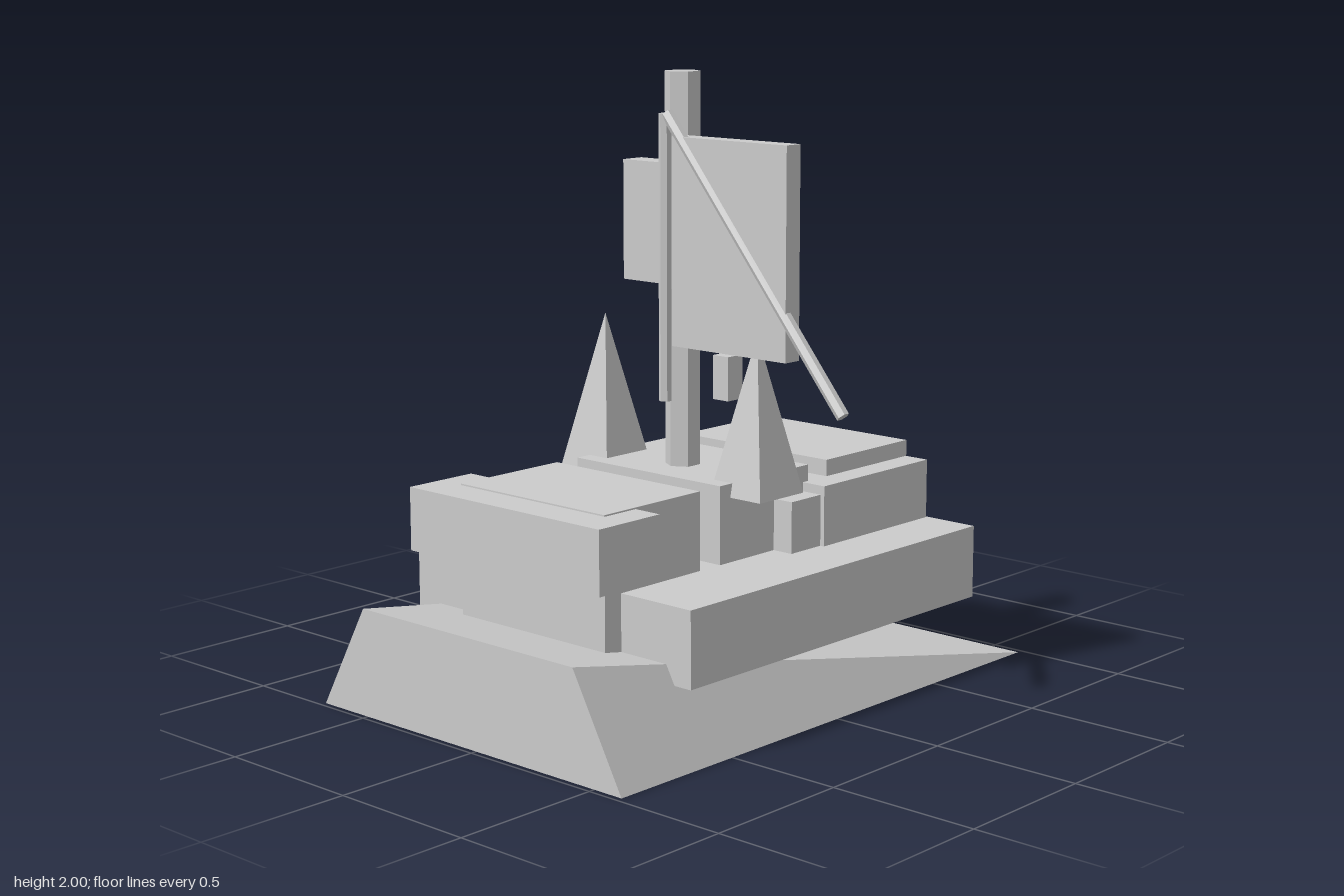
import * as THREE from 'three';

export function createModel() {
  const model = new THREE.Group();
  model.name = 'wreckedShip';
  const grey = new THREE.MeshStandardMaterial({ color: 0xcccccc });
  grey.name = 'plainGrey';

  const add = (name, geometry, x = 0, y = 0, z = 0) => {
    const flat = geometry.index ? geometry.toNonIndexed() : geometry;
    flat.computeVertexNormals();
    const mesh = new THREE.Mesh(flat, grey);
    mesh.name = name;
    mesh.position.set(x, y, z);
    model.add(mesh);
    return mesh;
  };
  // Box given by its extents on each axis
  const block = (name, [x0, x1], [y0, y1], [z0, z1]) =>
    add(name, new THREE.BoxGeometry(x1 - x0, y1 - y0, z1 - z0),
      (x0 + x1) / 2, (y0 + y1) / 2, (z0 + z1) / 2);
  // Six-sided pole between two points in a plane of constant z
  const pole = (name, radius, [x0, y0], [x1, y1], z) => {
    const length = Math.hypot(x1 - x0, y1 - y0);
    const mesh = add(name, new THREE.CylinderGeometry(radius, radius, length, 6),
      (x0 + x1) / 2, (y0 + y1) / 2, z);
    mesh.rotation.z = -Math.atan2(x1 - x0, y1 - y0);
  };

  // Ramp: tapers to a knife edge at the back, narrow ridge at the front
  const a = [-0.705, 0, -0.98], b = [0.61, 0, -0.98];
  const c = [-0.705, 0, 0.98], d = [0.61, 0, 0.98];
  const e = [-0.51, 0.35, 0.98], f = [0.415, 0.35, 0.98];
  const faces = [
    c, d, f, c, f, e, // front
    e, f, b, e, b, a, // slope
    a, c, e,          // right side
    d, b, f,          // left side
    a, b, d, a, d, c, // underside
  ];
  const wedge = new THREE.BufferGeometry();
  wedge.setAttribute('position', new THREE.Float32BufferAttribute(faces.flat(), 3));
  add('ramp', wedge);

  // Hull and stepped superstructure
  block('hull', [-0.65, 0.55], [0.225, 0.47], [-0.79, 0.62]);
  const core = [-0.365, 0.265];
  block('frontCabin', core, [0.24, 0.725], [0.265, 0.69]);
  block('middleCabin', core, [0.47, 0.725], [-0.26, 0.17]);
  block('backCabin', core, [0.47, 0.725], [-0.785, -0.355]);
  block('frontOverhang', [-0.465, 0.365], [0.515, 0.72], [0.555, 0.815]);
  block('backDeck', [-0.455, 0.355], [0.46, 0.67], [-0.783, -0.235]);
  block('sideSteps', [-0.44, 0.34], [0.46, 0.64], [-0.24, -0.09]);
  block('floatingBlock', [-0.335, -0.265], [0.835, 0.99], [-0.54, -0.465]);

  // Pair of four-sided spikes
  for (const [name, x] of [['rightSpike', -0.382], ['leftSpike', 0.284]]) {
    const spike = new THREE.ConeGeometry(0.105 * Math.SQRT2, 0.51, 4);
    spike.rotateY(Math.PI / 4);
    add(name, spike, x, 0.935, 0.017);
  }

  // Mast, sail panels and rigging
  pole('mast', 0.058, [-0.05, 0.7], [-0.05, 2], 0);
  block('smallSail', [-0.255, 0.16], [1.32, 1.71], [-0.025, 0.06]);
  block('largeSail', [-0.01, 0.465], [1.13, 1.8], [0.03, 0.095]);
  pole('uprightSpar', 0.021, [-0.05, 0.945], [-0.05, 1.87], 0.083);
  pole('slantedSpar', 0.021, [-0.04, 1.87], [0.685, 0.99], 0.083);

  return model;
}
